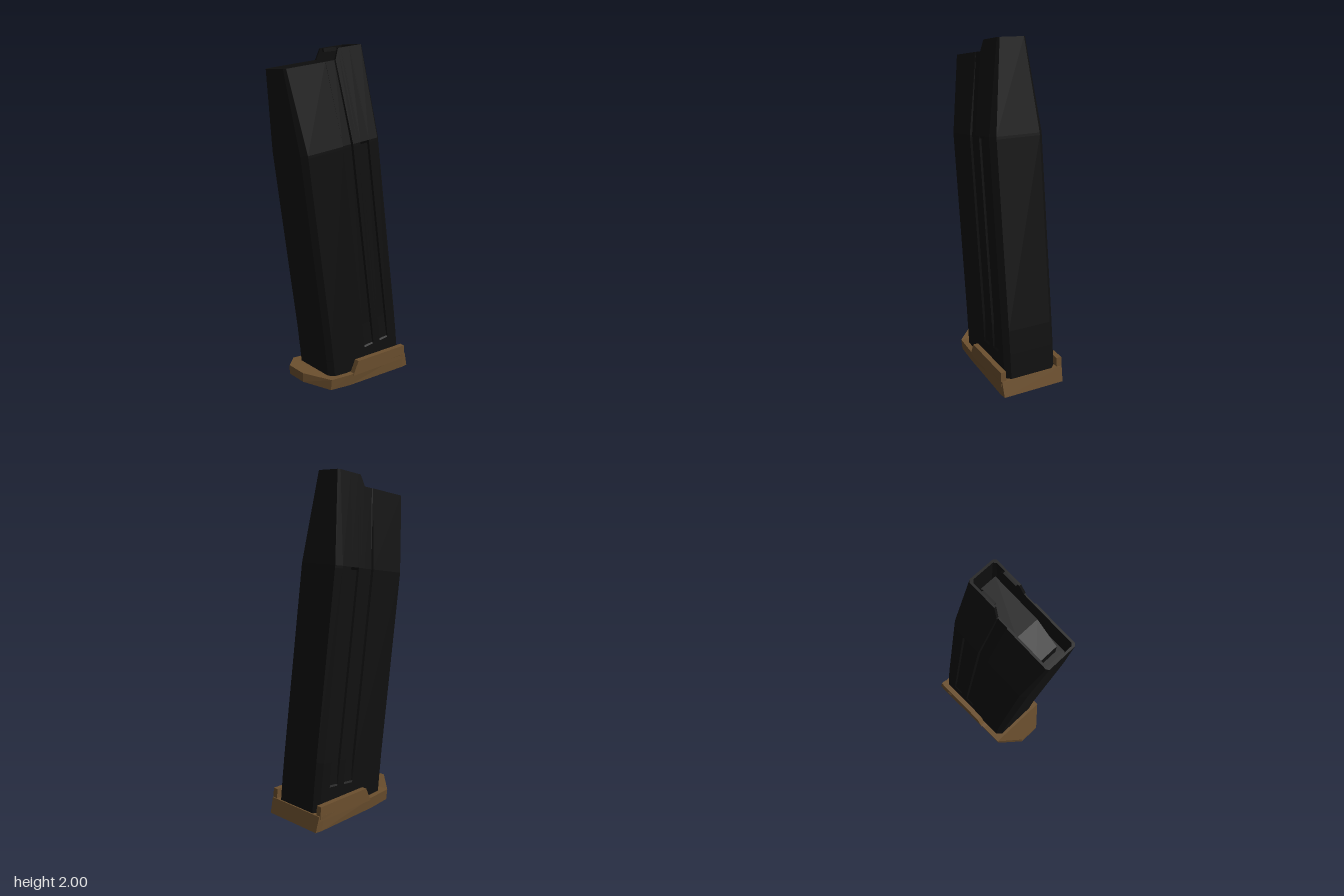
import * as THREE from 'three';

const black = new THREE.MeshStandardMaterial({ color: 0x101010, flatShading: true, side: THREE.DoubleSide });
const brown = new THREE.MeshStandardMaterial({ color: 0x6b4f2e, flatShading: true });

// Mirrors a half ring (front to back on +x) into a closed, symmetric ring
const mirror = (half) => [...half, ...half.map(([x, y, z]) => [-x, y, z]).reverse()];

// Skins a stack of symmetric rings, with optional strip caps at either end
function loft(rings, capStart, capEnd) {
  const pos = [];
  const n = rings[0].length;
  const quad = (a, b, c, d) => pos.push(...a, ...b, ...c, ...a, ...c, ...d);
  for (let r = 0; r + 1 < rings.length; r++) {
    const A = rings[r], B = rings[r + 1];
    for (let i = 0; i < n; i++) {
      const j = (i + 1) % n;
      quad(A[i], A[j], B[j], B[i]);
    }
  }
  for (let i = 0; i < n / 2 - 1; i++) {
    const A = rings[0], B = rings[rings.length - 1];
    if (capStart) quad(A[n - 1 - i], A[n - 2 - i], A[i + 1], A[i]);
    if (capEnd) quad(B[i], B[i + 1], B[n - 2 - i], B[n - 1 - i]);
  }
  const g = new THREE.BufferGeometry();
  g.setAttribute('position', new THREE.Float32BufferAttribute(pos, 3));
  g.computeVertexNormals();
  return g;
}

// Extrudes a side profile of [z, y] points across x, from x0 to x1
function sideExtrude(points, x0, x1) {
  const shape = new THREE.Shape(points.map(([z, y]) => new THREE.Vector2(z, y)));
  const g = new THREE.ExtrudeGeometry(shape, { depth: x1 - x0, bevelEnabled: false });
  return g.rotateY(-Math.PI / 2).translate(x1, 0, 0);
}

// One slanted cross-section of the case: chamfered corners, two side grooves
function section({ yf, yb, zf, zb, hw, ch, a = 0, b = 0, lift = 0, inset = 0 }) {
  const c = ch / (zf - zb);
  const s = inset / (zf - zb);
  const half = [
    [hw - ch, s], [hw, c + s], [hw, 0.49], [hw - a, 0.5], [hw - a, 0.61], [hw, 0.62], [hw, 0.68],
    [hw, 0.71], [hw - b, 0.718], [hw - b, 0.822], [hw, 0.83], [hw, 1 - c - s], [hw - ch, 1 - s],
  ].map(([x, u]) => {
    const up = u > 0.65 ? lift : 0;
    return [x - inset - up * 0.15, yf + (yb - yf) * u + up, zf + (zb - zf) * u + up * 0.15];
  });
  return mirror(half);
}

export function createModel() {
  const model = new THREE.Group();
  const add = (name, geometry, material) => {
    const mesh = new THREE.Mesh(geometry, material);
    mesh.name = name;
    model.add(mesh);
    return mesh;
  };

  // Hollow slanted case: up the outside, over the rim, down the inside
  const top = { yf: 1.865, yb: 1.94, zf: 0.42, zb: -0.128, hw: 0.095, ch: 0.012, lift: 0.06 };
  const rings = [
    { yf: 0.03, yb: 0.03, zf: 0.165, zb: -0.395, hw: 0.165, ch: 0.03 },
    { yf: 0.17, yb: 0.23, zf: 0.18, zb: -0.373, hw: 0.165, ch: 0.03 },
    { yf: 0.18, yb: 0.24, zf: 0.182, zb: -0.372, hw: 0.165, ch: 0.03, a: 0.006, b: 0.006 },
    { yf: 0.31, yb: 0.38, zf: 0.197, zb: -0.354, hw: 0.165, ch: 0.03, a: 0.012, b: 0.012 },
    { yf: 1.39, yb: 1.465, zf: 0.351, zb: -0.202, hw: 0.165, ch: 0.03, a: 0.012, b: 0.012 },
    { yf: 1.405, yb: 1.48, zf: 0.353, zb: -0.2, hw: 0.165, ch: 0.03, a: 0.012 },
    { ...top, a: 0.005 },
    { ...top, inset: 0.012 },
    { yf: 1.6, yb: 1.675, zf: 0.382, zb: -0.17, hw: 0.13, ch: 0.02, inset: 0.012 },
  ];
  add('case', loft(rings.map(section), true, true), black);

  // Follower inside the mouth
  add('follower', sideExtrude([[-0.1, 1.68], [0.33, 1.65], [0.33, 1.72], [0.19, 1.82], [-0.1, 1.86]], -0.07, 0.07), black);

  // Base plate with an upturned front lip
  const bottom = mirror([[0.07, 0.055, 0.305], [0.19, 0.013, 0.19], [0.19, 0, 0.05], [0.2, 0, -0.375], [0.195, 0, -0.42]]);
  const upper = mirror([[0.07, 0.11, 0.305], [0.198, 0.08, 0.19], [0.2, 0.072, 0.05], [0.204, 0.09, -0.375], [0.2, 0.09, -0.397]]);
  add('basePlate', loft([bottom, upper], true, true), brown);

  // Mirrored side walls of the base and feed lips of the mouth
  for (const side of [1, -1]) {
    const x = side > 0 ? [0.17, 0.203] : [-0.203, -0.17];
    add('baseSideWall', sideExtrude([[0.03, 0.06], [-0.01, 0.145], [-0.385, 0.145], [-0.393, 0.06]], ...x), brown);
    const l = side > 0 ? [0.062, 0.085] : [-0.085, -0.062];
    add('feedLip', sideExtrude([[0.04, 1.955], [0.045, 1.975], [-0.04, 1.985], [-0.06, 1.965]], ...l), black);
  }
  return model;
}
